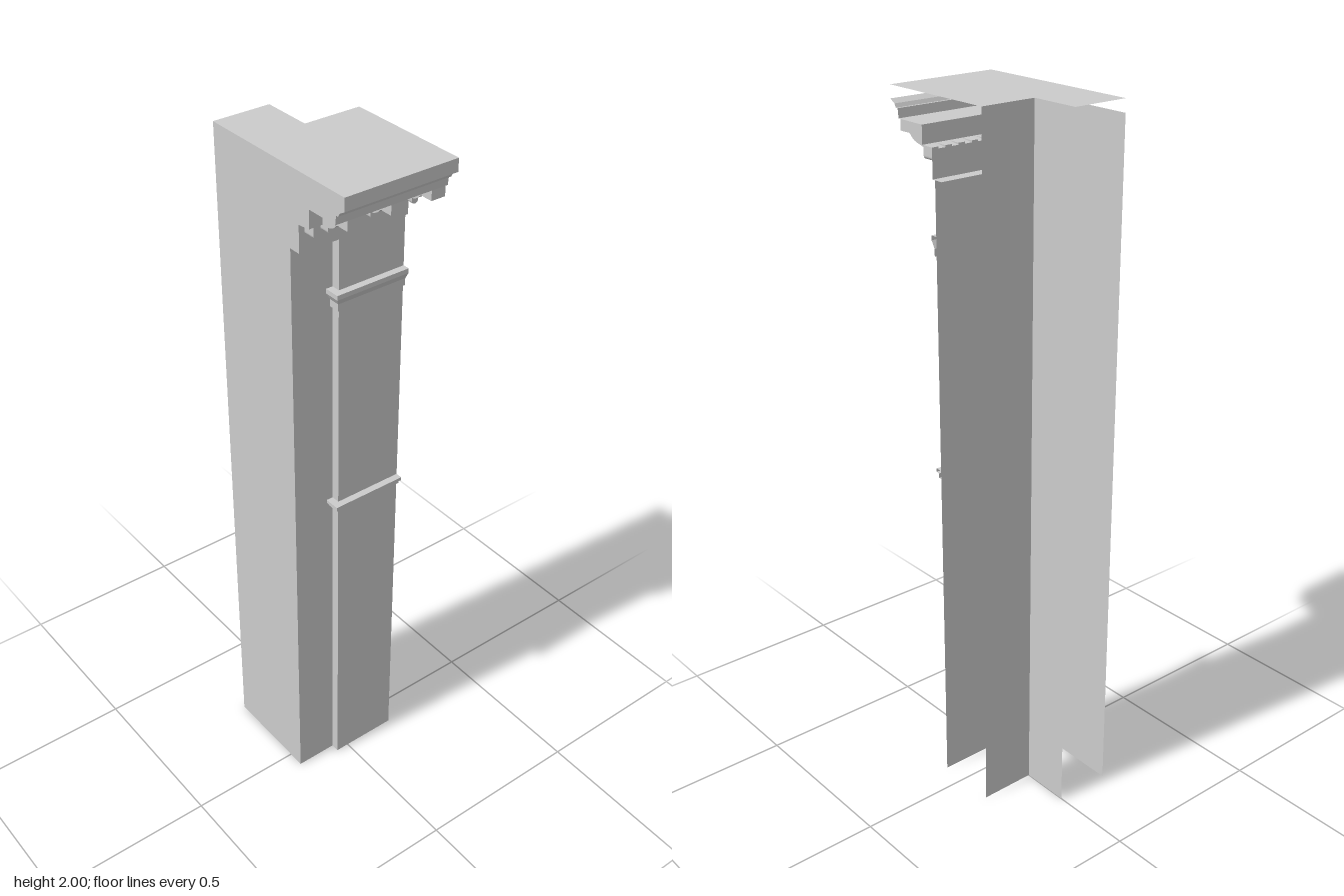
import * as THREE from 'three';

const V = (x, y, z) => new THREE.Vector3(x, y, z);
const skin = new THREE.MeshStandardMaterial({ color: 0xcccccc, side: THREE.DoubleSide, flatShading: true });
const solid = new THREE.MeshStandardMaterial({ color: 0xcccccc, flatShading: true });

// Plan and height dimensions
const LEFT = -0.255, RIGHT = 0.255, FRONT = 0.165, BACK = -0.165;
const WALL = 0.05, PILASTER = 0.075, CORNER = 0.04, NOTCH = -0.11;
const TOP = 2, FASCIA = 1.965, BED = 1.79;

// Cornice section, from the fascia down to the wall
const cornice = [
  [RIGHT, FASCIA], [0.238, 1.955], [0.232, 1.945], [0.225, 1.945], [0.222, 1.92],
  [0.125, 1.92], [0.125, 1.87], [0.085, 1.865], [0.085, BED], [WALL, BED],
];

// Surface joining rows of points, one quad between neighbours
function loft(rows) {
  const pos = [];
  for (let i = 0; i < rows.length - 1; i++) {
    for (let j = 0; j < rows[i].length - 1; j++) {
      const a = rows[i][j], b = rows[i][j + 1], c = rows[i + 1][j + 1], d = rows[i + 1][j];
      for (const p of [a, d, c, a, c, b]) pos.push(p.x, p.y, p.z);
    }
  }
  const g = new THREE.BufferGeometry();
  g.setAttribute('position', new THREE.Float32BufferAttribute(pos, 3));
  g.computeVertexNormals();
  return g;
}

const shapeOf = (pts) => new THREE.Shape(pts.map(([x, y]) => new THREE.Vector2(x, y)));

// Vertical wall following a plan line of [x, z] points
const wall = (plan, y0, y1) => loft([y1, y0].map((y) => plan.map(([x, z]) => V(x, y, z))));

// Moulding wrapped round the pilaster corner; section is [projection, y]
const moulding = (section) => loft(section.map(([d, y]) => [
  V(WALL, y, CORNER + d), V(PILASTER + d, y, CORNER + d), V(PILASTER + d, y, BACK),
]));

export function createModel() {
  const model = new THREE.Group();
  const add = (name, geometry, material = skin, parent = model) => {
    const mesh = new THREE.Mesh(geometry, material);
    mesh.name = name;
    parent.add(mesh);
    return mesh;
  };

  // Front wall, whose outline also closes the front end of the cornice
  add('frontWall', new THREE.ShapeGeometry(shapeOf([
    [LEFT, 0], [WALL, 0], ...cornice.slice().reverse(), [LEFT, FASCIA],
  ])).translate(0, 0, FRONT));

  // Side wall stepping out to the pilaster
  add('sideWall', wall([[WALL, FRONT], [WALL, CORNER]], 0, BED));
  add('pilaster', wall([[WALL, CORNER], [PILASTER, CORNER], [PILASTER, BACK]], 0, BED));

  // Inner corner walls at the back; the ends stay open
  add('innerWall', wall([[NOTCH, BACK], [NOTCH, 0], [LEFT, 0]], 0, TOP));

  // L-shaped roof
  add('roof', new THREE.ShapeGeometry(shapeOf([
    [LEFT, -FRONT], [RIGHT, -FRONT], [RIGHT, -BACK], [NOTCH, -BACK], [NOTCH, 0], [LEFT, 0],
  ])).rotateX(-Math.PI / 2).translate(0, TOP, 0));

  // Thin outward-facing fascia at the roof edge
  const h = TOP - FASCIA, mid = (TOP + FASCIA) / 2;
  add('frontFascia', new THREE.PlaneGeometry(RIGHT - LEFT, h).translate(0, mid, FRONT), solid);
  add('sideFascia', new THREE.PlaneGeometry(FRONT - BACK, h).rotateY(Math.PI / 2).translate(RIGHT, mid, 0), solid);

  // Cornice running along the side
  add('cornice', loft(cornice.map(([x, y]) => [V(x, y, FRONT), V(x, y, BACK)])));

  // Scrolled brackets under the cornice
  const bracketShape = shapeOf([[0.125, 1.92], [0.125, 1.865], [0.145, 1.87]]);
  bracketShape.quadraticCurveTo(0.165, 1.874, 0.175, 1.886);
  bracketShape.quadraticCurveTo(0.18, 1.893, 0.19, 1.89);
  bracketShape.lineTo(0.217, 1.89);
  bracketShape.lineTo(0.217, 1.92);
  const bracket = new THREE.ExtrudeGeometry(bracketShape, { depth: 0.042, bevelEnabled: false, curveSegments: 5 });
  const brackets = new THREE.Group();
  brackets.name = 'brackets';
  model.add(brackets);
  for (const z of [0.085, -0.042, -0.163]) add('bracket', bracket, skin, brackets).position.z = z;

  // Row of round-bottomed dentils
  const tab = new THREE.Shape();
  tab.moveTo(0.01, 1.87);
  tab.lineTo(-0.01, 1.87);
  tab.lineTo(-0.01, 1.845);
  tab.absarc(0, 1.845, 0.01, Math.PI, Math.PI * 2, false);
  const dentil = new THREE.ExtrudeGeometry(tab, { depth: 0.035, bevelEnabled: false, curveSegments: 6 })
    .rotateY(Math.PI / 2).translate(0.085, 0, 0);
  const dentils = new THREE.Group();
  dentils.name = 'dentils';
  model.add(dentils);
  for (let i = 0; i < 8; i++) add('dentil', dentil, skin, dentils).position.z = 0.139 - i * 0.042;

  // Mouldings across the pilaster
  add('upperMoulding', moulding([
    [0, 1.645], [0.02, 1.645], [0.02, 1.632], [0.008, 1.612], [0.008, 1.592], [0, 1.592],
  ]));
  add('lowerMoulding', moulding([
    [0, 0.99], [0.02, 0.99], [0.02, 0.98], [0.01, 0.978], [0.01, 0.965], [0, 0.965],
  ]));

  return model;
}
